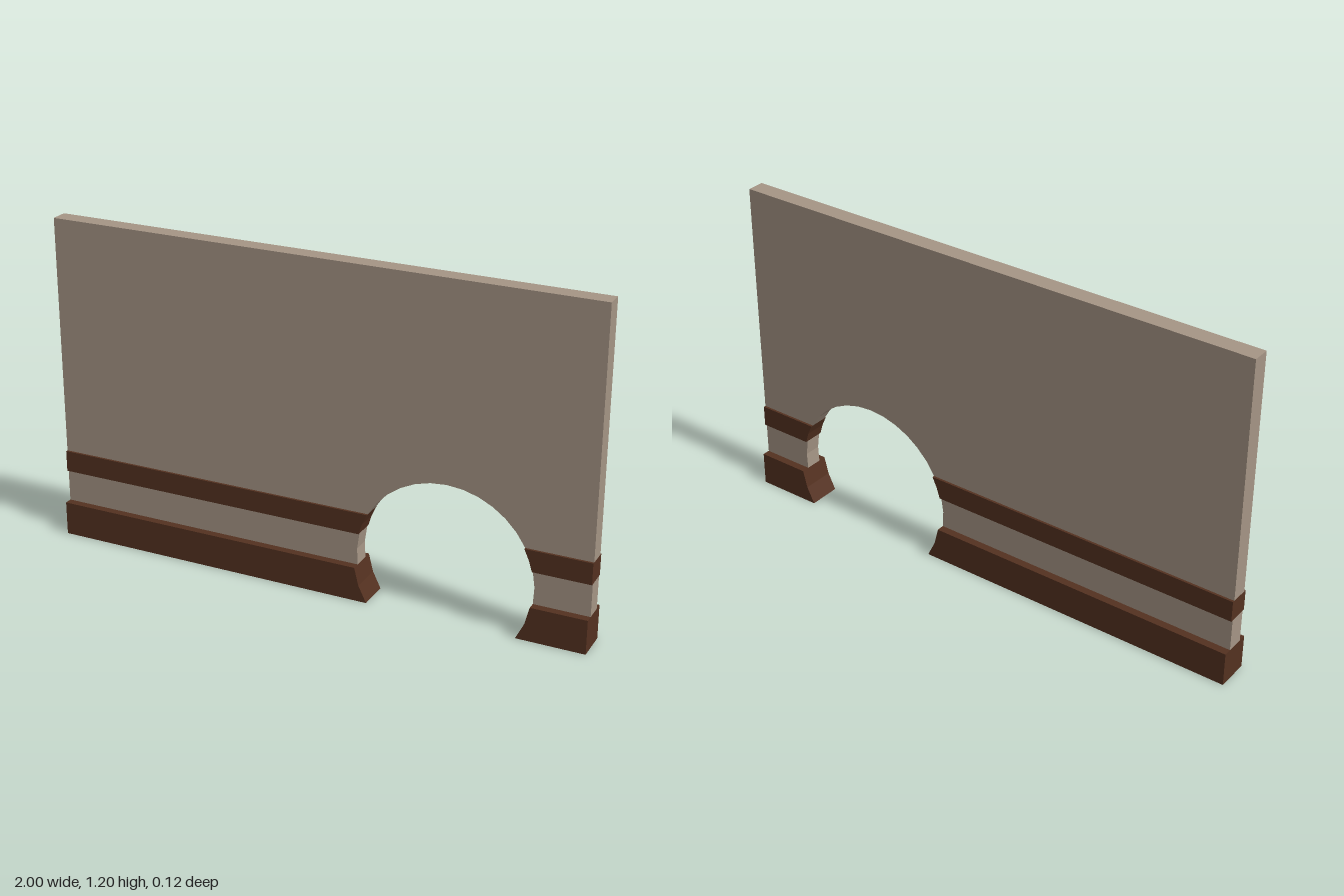
import * as THREE from 'three';

const HALF = 1, TOP = 1.2;                  // wall extents
const HOLE = { x: 0.485, y: 0.17, r: 0.32 }; // round opening at the foot of the wall
const WALL_DEPTH = 0.063;

const wallMaterial = new THREE.MeshStandardMaterial({ color: 0xa59585 });
const trimMaterial = new THREE.MeshStandardMaterial({ color: 0x543120 });

// Points on the opening's rim between two heights; side is -1 or +1
function rim(side, y0, y1, steps) {
  const a0 = Math.asin((y0 - HOLE.y) / HOLE.r);
  const a1 = Math.asin((y1 - HOLE.y) / HOLE.r);
  return Array.from({ length: steps + 1 }, (_, i) => {
    const a = a0 + (a1 - a0) * i / steps;
    return new THREE.Vector2(HOLE.x + side * HOLE.r * Math.cos(a), HOLE.y + HOLE.r * Math.sin(a));
  });
}

function slab(name, points, depth, material) {
  const geometry = new THREE.ExtrudeGeometry(new THREE.Shape(points), { depth, bevelEnabled: false });
  geometry.translate(0, 0, -depth / 2);
  const mesh = new THREE.Mesh(geometry, material);
  mesh.name = name;
  return mesh;
}

// A horizontal course interrupted by the opening: one piece on each side
function course(name, y0, y1, depth, material) {
  const group = new THREE.Group();
  group.name = name;
  for (const side of [-1, 1]) {
    const points = [
      new THREE.Vector2(side * HALF, y1),
      new THREE.Vector2(side * HALF, y0),
      ...rim(side, y0, y1, 2),
    ];
    group.add(slab(name + (side > 0 ? 'Left' : 'Right'), points, depth, material));
  }
  return group;
}

export function createModel() {
  const model = new THREE.Group();
  model.name = 'wallWithRoundOpening';

  // Base board, wall strip and upper rail
  model.add(course('baseboard', 0, 0.125, 0.12, trimMaterial));
  model.add(course('wallStrip', 0.125, 0.245, WALL_DEPTH, wallMaterial));
  model.add(course('rail', 0.245, 0.323, 0.08, trimMaterial));

  // Upper wall panel with the top of the arch cut out of its lower edge
  const y = 0.323, crown = HOLE.y + HOLE.r;
  model.add(slab('upperWall', [
    new THREE.Vector2(-HALF, y),
    ...rim(-1, y, crown, 6),
    ...rim(1, y, crown, 6).reverse().slice(1),
    new THREE.Vector2(HALF, y),
    new THREE.Vector2(HALF, TOP),
    new THREE.Vector2(-HALF, TOP),
  ], WALL_DEPTH, wallMaterial));

  return model;
}
